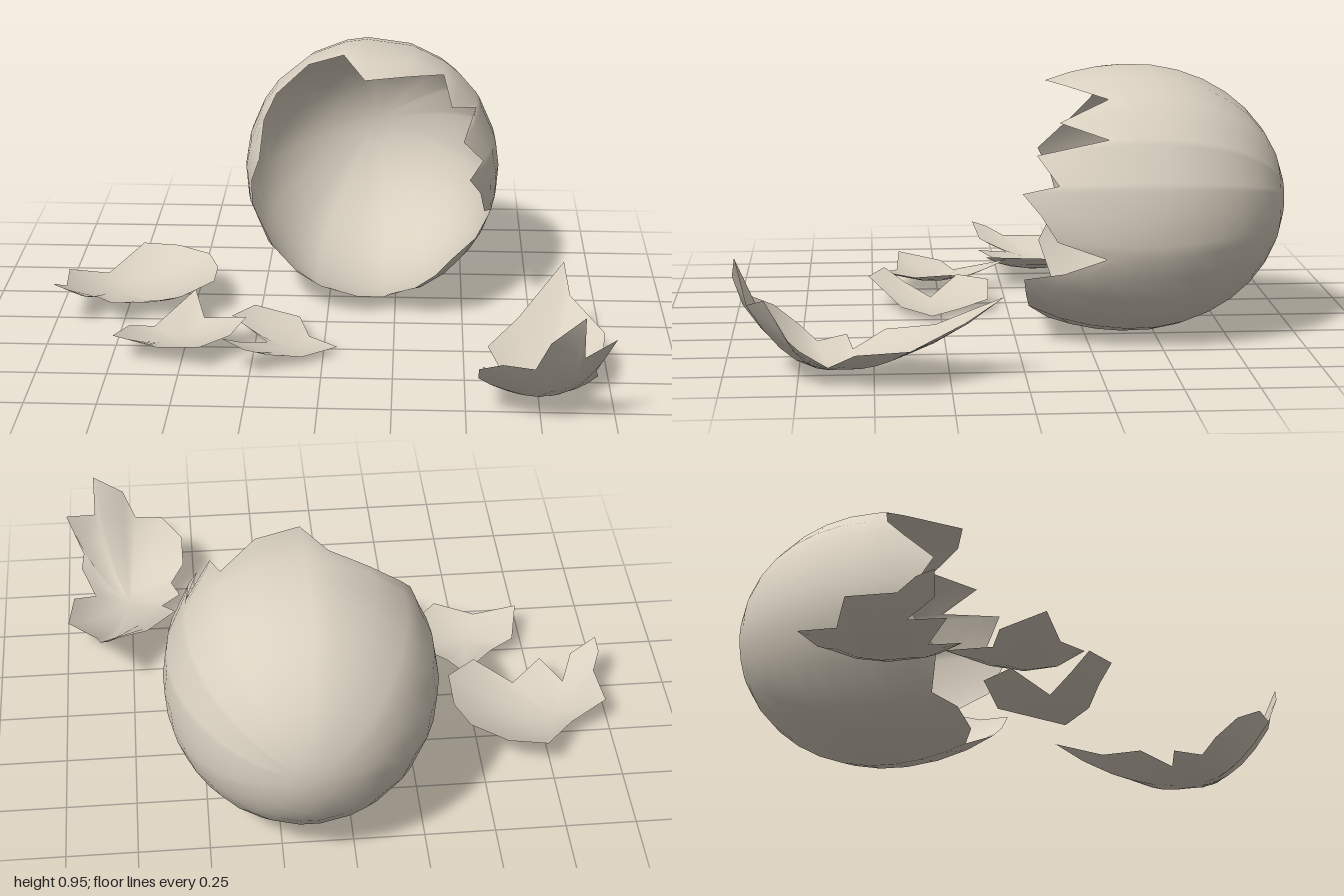
import * as THREE from 'three';

const shell = new THREE.MeshStandardMaterial({ color: 0xd9d0c0, side: THREE.DoubleSide });
shell.name = 'eggshell cream';

function meshFrom(name, positions, indices) {
  const g = new THREE.BufferGeometry();
  g.setAttribute('position', new THREE.Float32BufferAttribute(positions, 3));
  g.setIndex(indices);
  g.computeVertexNormals();
  const m = new THREE.Mesh(g, shell);
  m.name = name;
  return m;
}

// Surface made of a pole point and closed rings: at(column, ring) gives a point
function ringSurface(name, pole, columns, rings, at) {
  const pos = [...pole], idx = [];
  for (let r = 1; r <= rings; r++)
    for (let c = 0; c < columns; c++) pos.push(...at(c, r));
  const id = (c, r) => (r === 0 ? 0 : 1 + (r - 1) * columns + (c % columns));
  for (let r = 0; r < rings; r++)
    for (let c = 0; c < columns; c++) {
      idx.push(id(c, r), id(c, r + 1), id(c + 1, r + 1));
      if (r > 0) idx.push(id(c, r), id(c + 1, r + 1), id(c + 1, r));
    }
  return meshFrom(name, pos, idx);
}

// Main egg lying on its side, open to the front with a jagged rim
function makeEgg() {
  const cx = 0.155, cy = 0.482, cz = -0.42, radius = 0.478, back = 0.548, front = 0.65;
  // rim points: angle around the egg axis in degrees, z
  const rim = [
    [-10, -0.125], [2, -0.07], [13, -0.01], [16, -0.13], [32, -0.06], [35, -0.3], [47, -0.14],
    [56, -0.31], [72, -0.175], [93, -0.115], [103, -0.315], [120, -0.35], [139, -0.31],
    [150, -0.24], [164, -0.12], [178, -0.17], [192, -0.2], [212, -0.12], [232, -0.16],
    [244, -0.09], [264, -0.075], [277, -0.12], [296, -0.045], [310, -0.03], [323, -0.02],
    [334, -0.15], [344, -0.29],
  ];
  const bodyRings = 9, rings = 12, shoulder = THREE.MathUtils.degToRad(93);
  return ringSurface('brokenEgg', [cx, cy, cz - back], rim.length, rings, (c, r) => {
    const a = THREE.MathUtils.degToRad(rim[c][0]);
    const end = Math.acos(-(rim[c][1] - cz) / front);
    const t = r <= bodyRings
      ? (shoulder * r) / bodyRings
      : shoulder + ((end - shoulder) * (r - bodyRings)) / (rings - bodyRings);
    const k = Math.cos(t), s = Math.sin(t) * radius;
    return [cx + s * Math.cos(a), cy + s * Math.sin(a), cz - k * (k > 0 ? back : front)];
  });
}

// Curved shard: rim points [x, z, y] around a low centre, bulging downwards
function makeShard(name, [px, pz, py], outline, height) {
  const rings = 5;
  return ringSurface(name, [px, py, pz], outline.length, rings, (c, r) => {
    const t = r / rings, [ox, oz, oy] = outline[c];
    const x = px + (ox - px) * t, z = pz + (oz - pz) * t;
    return [x, height ? height(x, z) : py + (oy - py) * t * t, z];
  });
}

// Shard whose height follows a shallow bowl
function makeBowlShard(name, hub, bowl, outline) {
  const height = (x, z) => bowl.y + bowl.k * ((x - bowl.x) ** 2 + (z - bowl.z) ** 2);
  return makeShard(name, [hub[0], hub[1], height(...hub)], outline, height);
}

export function createModel() {
  const model = new THREE.Group();
  model.name = 'brokenEggshell';
  model.add(makeEgg());

  model.add(makeBowlShard('backShard', [-0.8, -0.2], { x: -0.72, z: -0.15, y: 0.045, k: 0.97 }, [
    [-0.73, -0.455], [-0.59, -0.43], [-0.465, -0.335], [-0.42, -0.21], [-0.42, -0.05],
    [-0.53, 0.06], [-0.67, -0.02], [-0.785, 0.075], [-0.855, -0.04], [-0.9, 0.065],
    [-0.995, 0.09], [-1, 0.03], [-0.97, -0.04], [-0.985, -0.21], [-0.845, -0.28],
  ]));

  model.add(makeBowlShard('middleShard', [-0.53, 0.27], { x: -0.53, z: 0.26, y: 0.045, k: 1 }, [
    [-0.485, -0.015], [-0.44, 0.13], [-0.28, 0.21], [-0.33, 0.34], [-0.43, 0.455],
    [-0.58, 0.405], [-0.74, 0.395], [-0.705, 0.23], [-0.615, 0.185],
  ]));

  model.add(makeBowlShard('smallShard', [-0.13, 0.3], { x: -0.04, z: 0.27, y: 0.025, k: 0.8 }, [
    [-0.26, 0.065], [-0.095, 0.075], [-0.055, 0.19], [0.05, 0.285], [-0.07, 0.395],
    [-0.19, 0.455], [-0.265, 0.515], [-0.35, 0.455], [-0.29, 0.38], [-0.2, 0.285], [-0.335, 0.18],
  ]));

  model.add(makeShard('largeShard', [0.76, 0.65, 0.037], [
    [0.86, 0.075, 0.29], [0.877, 0.2, 0.21], [0.99, 0.385, 0.145], [0.97, 0.56, 0.13],
    [0.89, 0.65, 0.07], [0.94, 0.74, 0.14], [0.93, 0.785, 0.18], [0.99, 0.848, 0.32],
    [0.88, 0.91, 0.28], [0.877, 0.945, 0.435], [0.765, 0.96, 0.35], [0.72, 0.93, 0.245],
    [0.615, 0.91, 0.25], [0.54, 0.835, 0.2], [0.54, 0.75, 0.13], [0.59, 0.69, 0.085],
    [0.56, 0.59, 0.1], [0.63, 0.57, 0.065], [0.58, 0.46, 0.12], [0.69, 0.295, 0.16],
  ]));
  return model;
}
